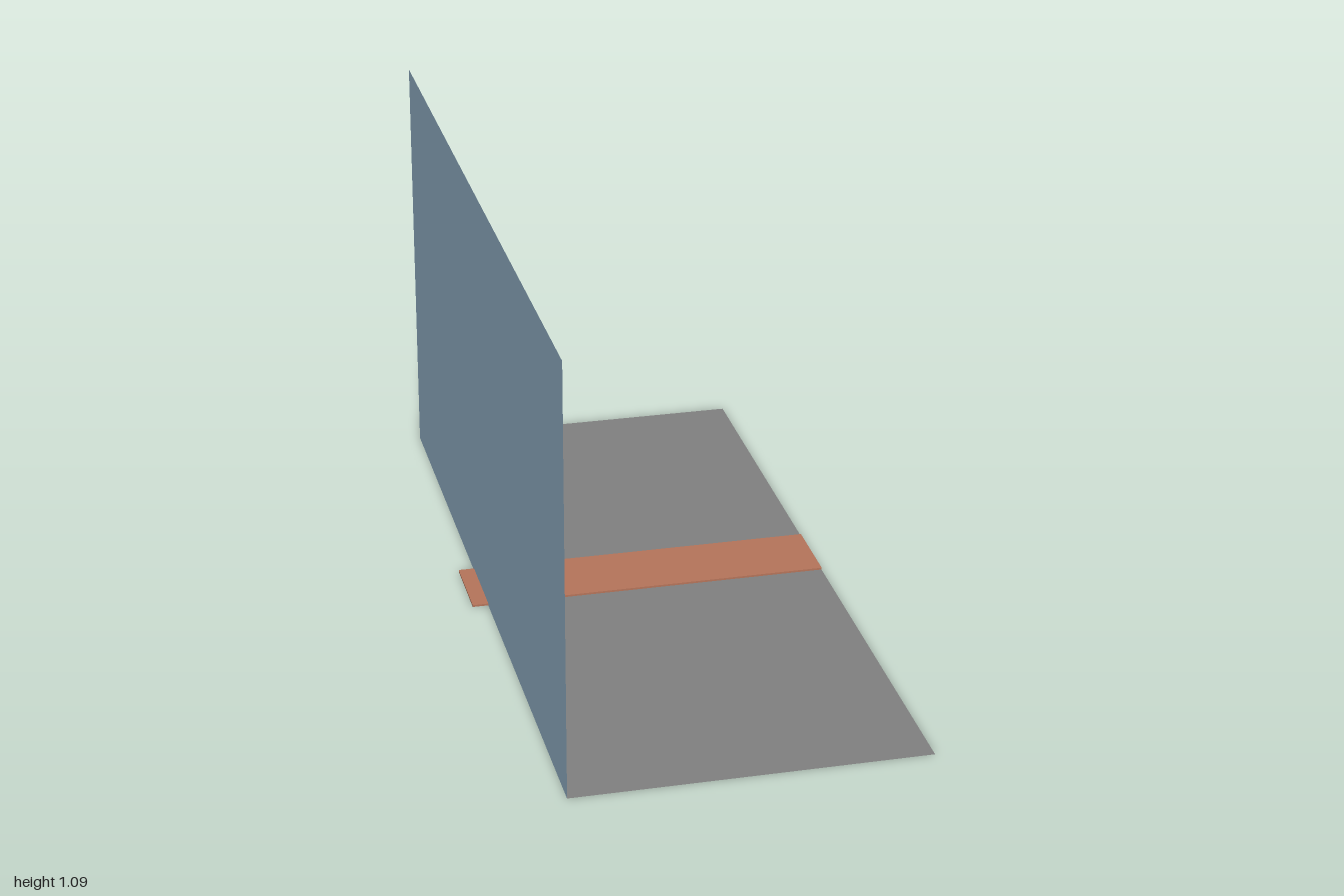
import * as THREE from 'three';

export function createModel() {
  const model = new THREE.Group();
  model.name = 'streetCorner';

  const mat = (name, color, extra = {}) => {
    const m = new THREE.MeshStandardMaterial({ color, ...extra });
    m.name = name;
    return m;
  };
  const grey = mat('pavementGrey', 0x808080, { side: THREE.DoubleSide });
  const blue = mat('wallBlue', 0x94b3c9, { side: THREE.DoubleSide });
  const clay = mat('clayBrown', 0xb5745a);
  const rubber = mat('tyreBlue', 0x5f6fc8, { flatShading: true });

  const add = (name, geometry, material, x, y, z) => {
    const mesh = new THREE.Mesh(geometry, material);
    mesh.name = name;
    mesh.position.set(x, y, z);
    model.add(mesh);
    return mesh;
  };
  // Box given by its minimum and maximum corners
  const block = (name, [x0, y0, z0], [x1, y1, z1]) =>
    add(name, new THREE.BoxGeometry(x1 - x0, y1 - y0, z1 - z0), clay,
      (x0 + x1) / 2, (y0 + y1) / 2, (z0 + z1) / 2);

  // Ground and side wall: thin sheets
  add('floor', new THREE.PlaneGeometry(0.875, 2).rotateX(-Math.PI / 2), grey, 0.0175, 0, 0);
  add('wall', new THREE.PlaneGeometry(2, 1.085).rotateY(Math.PI / 2), blue, -0.42, 0.5425, 0);

  // Raised strip that passes under the wall
  block('path', [-0.46, 0.001, -0.165], [0.455, 0.006, 0.035]);

  // Stacked crates against the wall
  block('largeCrate', [-0.419, 0.005, -0.515], [-0.32, 0.087, -0.335]);
  block('smallCrate', [-0.419, 0.087, -0.405], [-0.37, 0.147, -0.335]);

  // Low-poly tyre with a small centre hole and bevelled rims
  const profile = [
    [0.01, -0.005], [0.017, -0.01], [0.038, -0.01], [0.045, -0.006],
    [0.045, 0.006], [0.038, 0.01], [0.017, 0.01], [0.01, 0.005], [0.01, -0.005],
  ].map(([r, y]) => new THREE.Vector2(r, y));
  const tyre = new THREE.LatheGeometry(profile, 12);

  for (let i = 0; i < 3; i++) {
    add('stackedTyre' + (i + 1), tyre, rubber, -0.272, 0.015 + i * 0.02, -0.28);
  }

  // One tyre leaning on the stack
  const leaning = add('leaningTyre', tyre, rubber, -0.219, 0.044, -0.315);
  const axis = new THREE.Vector3(0.7, 0.42, -0.58).normalize();
  leaning.quaternion.setFromUnitVectors(new THREE.Vector3(0, 1, 0), axis);

  return model;
}
